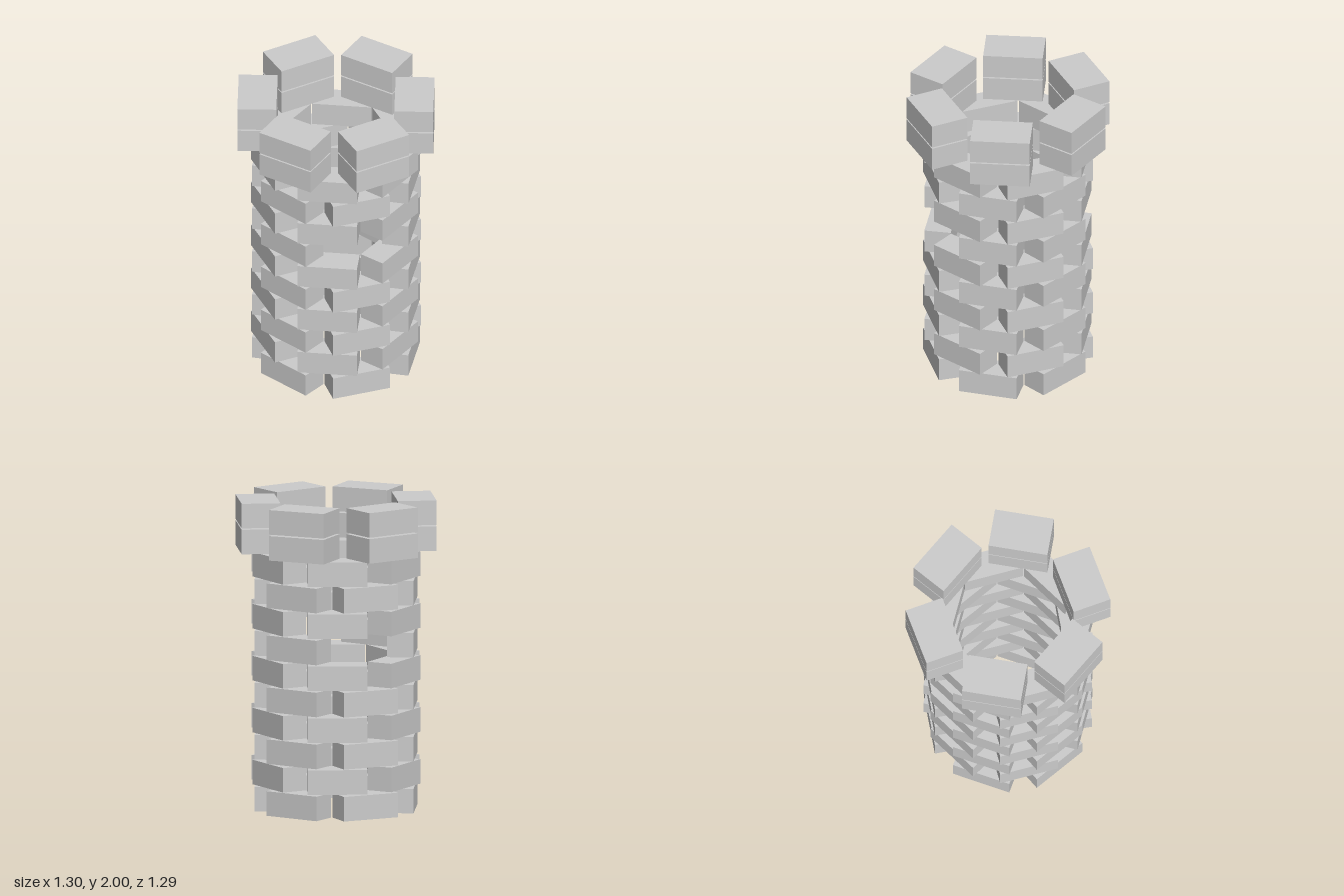
import * as THREE from 'three';

const ROWS = 12;
const BRICK_H = 0.158;
const PITCH = (2 - BRICK_H) / (ROWS - 1);
const BRICKS = 6;

export function createModel() {
  const tower = new THREE.Group();
  tower.name = 'brickTower';
  const material = new THREE.MeshStandardMaterial({ color: 0xcccccc, flatShading: true });
  const wallBrick = new THREE.BoxGeometry(0.38, BRICK_H, 0.17);
  const battlementBrick = new THREE.BoxGeometry(0.38, BRICK_H, 0.248);

  // One ring of six bricks facing outwards; skip lists the bricks left out
  function addRing(row, name, geometry, radius, turnDeg, skip = []) {
    const ring = new THREE.Group();
    ring.name = name + 'Ring' + (row + 1);
    ring.position.y = BRICK_H / 2 + row * PITCH;
    for (let i = 0; i < BRICKS; i++) {
      if (skip.includes(i)) continue;
      const angle = THREE.MathUtils.degToRad(turnDeg + i * 360 / BRICKS);
      const brick = new THREE.Mesh(geometry, material);
      brick.name = name + 'Brick';
      brick.position.set(Math.sin(angle) * radius, 0, Math.cos(angle) * radius);
      brick.rotation.y = angle;
      ring.add(brick);
    }
    tower.add(ring);
  }

  // Wall: alternate rings are turned to stagger the joints
  const WINDOW_ROW = 6;
  for (let row = 0; row < ROWS - 2; row++) {
    // Front and back bricks are left out to form the windows
    const skip = row === WINDOW_ROW ? [0, 3] : [];
    addRing(row, 'wall', wallBrick, 0.422, row % 2 ? 35 : 0, skip);
  }

  // Battlements: two stacked rings of deeper, overhanging bricks
  for (let row = ROWS - 2; row < ROWS; row++) {
    addRing(row, 'battlement', battlementBrick, 0.499, 10);
  }
  return tower;
}
